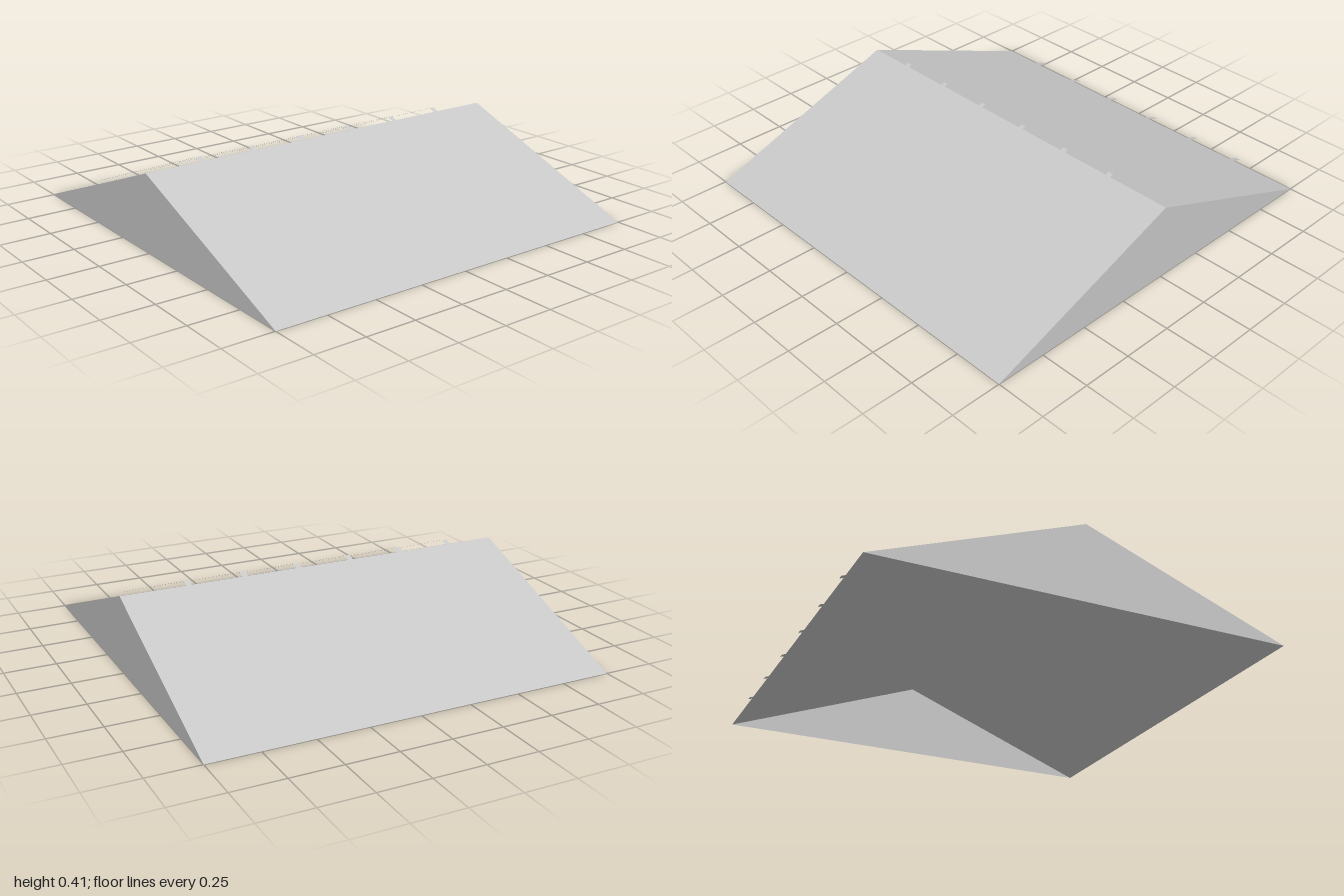
import * as THREE from 'three';

const RISE = 0.38, RUN = 1, HALF_LENGTH = 1;
const SEAM_LIFT = 0.025, SEAM_WIDTH = 0.027;

export function createModel() {
  const model = new THREE.Group();
  model.name = 'gableRoof';

  const metal = new THREE.MeshStandardMaterial({ color: 0xc8c8c8, side: THREE.DoubleSide });
  metal.name = 'lightGreyMetal';

  const slopeLength = Math.hypot(RISE, RUN);
  const tilt = -Math.atan2(RUN, RISE);

  // A flat sheet lying along the slope, from ridge to eave
  function sheet(name, width, x, lift) {
    const mesh = new THREE.Mesh(new THREE.PlaneGeometry(width, slopeLength), metal);
    mesh.name = name;
    mesh.rotation.x = tilt;
    mesh.position.set(x, RISE / 2 + lift, RUN / 2);
    return mesh;
  }

  // Two slopes, each with six raised seam strips
  for (const side of [1, -1]) {
    const slope = new THREE.Group();
    slope.name = side > 0 ? 'frontSlope' : 'backSlope';
    slope.add(sheet('roofPanel', HALF_LENGTH * 2, 0, 0));
    for (let i = 0; i < 6; i++) {
      const x = -0.726 + i * 0.2804;
      slope.add(sheet('seam', SEAM_WIDTH, x * side, SEAM_LIFT));
    }
    if (side < 0) slope.rotation.y = Math.PI;
    model.add(slope);
  }

  // Triangular gable ends; the underside stays open
  const triangle = new THREE.Shape([
    new THREE.Vector2(-RUN, 0),
    new THREE.Vector2(RUN, 0),
    new THREE.Vector2(0, RISE),
  ]);
  for (const side of [1, -1]) {
    const gable = new THREE.Mesh(new THREE.ShapeGeometry(triangle), metal);
    gable.name = side > 0 ? 'leftGable' : 'rightGable';
    gable.rotation.y = side * Math.PI / 2;
    gable.position.x = side * HALF_LENGTH;
    model.add(gable);
  }

  return model;
}
